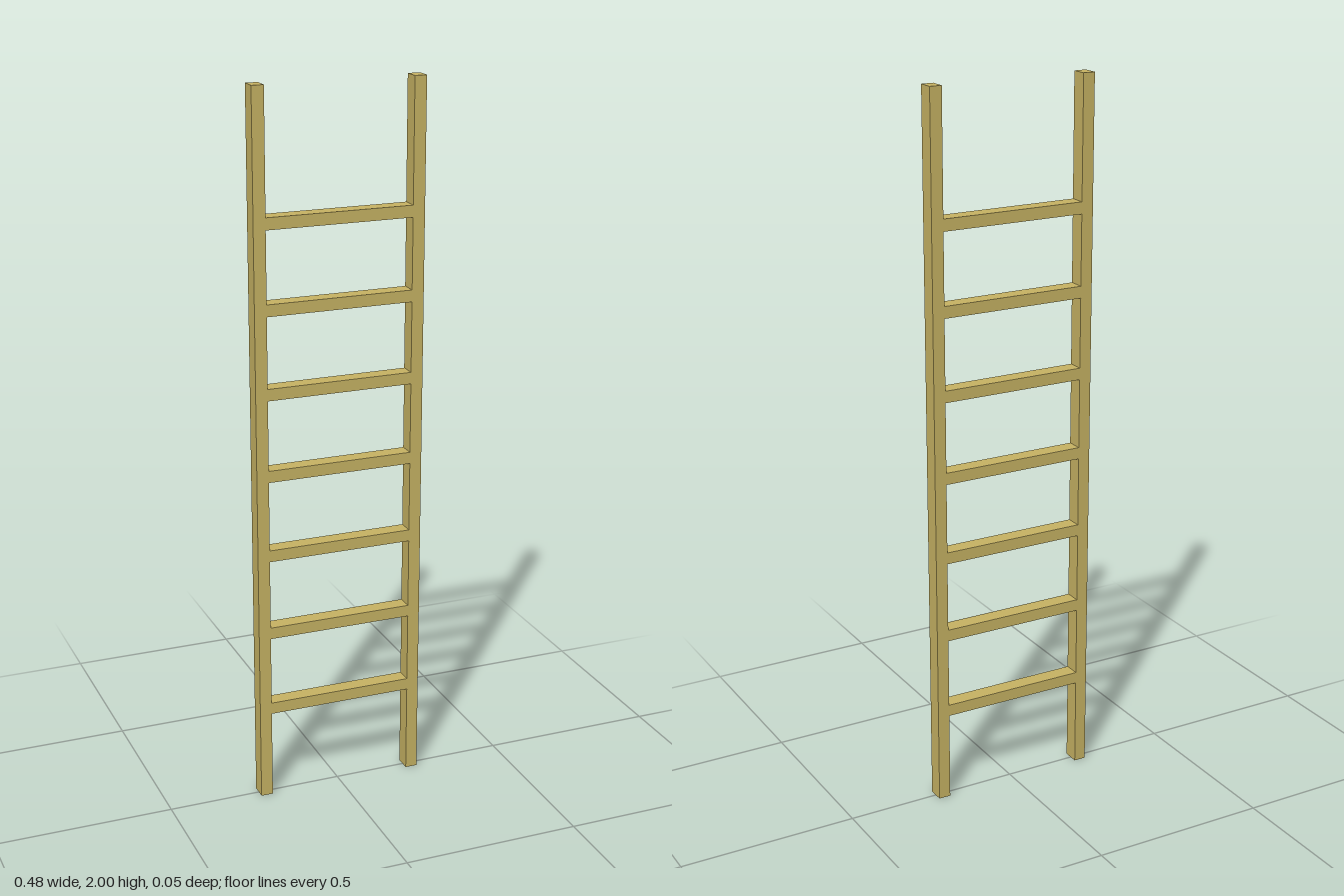
import * as THREE from 'three';

export function createModel() {
  const ladder = new THREE.Group();
  ladder.name = 'ladder';
  const wood = new THREE.MeshStandardMaterial({ color: 0xc8b464 });

  const height = 2, halfWidth = 0.24, railWidth = 0.034, depth = 0.046;
  const rungCount = 7, rungHeight = 0.033, firstRung = 0.269, rungStep = 0.2295;

  const addBox = (name, w, h, x, y) => {
    const mesh = new THREE.Mesh(new THREE.BoxGeometry(w, h, depth), wood);
    mesh.name = name;
    mesh.position.set(x, y, 0);
    ladder.add(mesh);
  };

  // Upright rails, mirrored across x = 0
  for (const side of [-1, 1]) {
    addBox(side > 0 ? 'leftRail' : 'rightRail', railWidth, height,
      side * (halfWidth - railWidth / 2), height / 2);
  }

  // Evenly spaced rungs, butted between the rails at full depth
  const rungLength = 2 * (halfWidth - railWidth);
  for (let i = 0; i < rungCount; i++) {
    addBox(`rung${i + 1}`, rungLength, rungHeight, 0, firstRung + i * rungStep);
  }

  return ladder;
}
